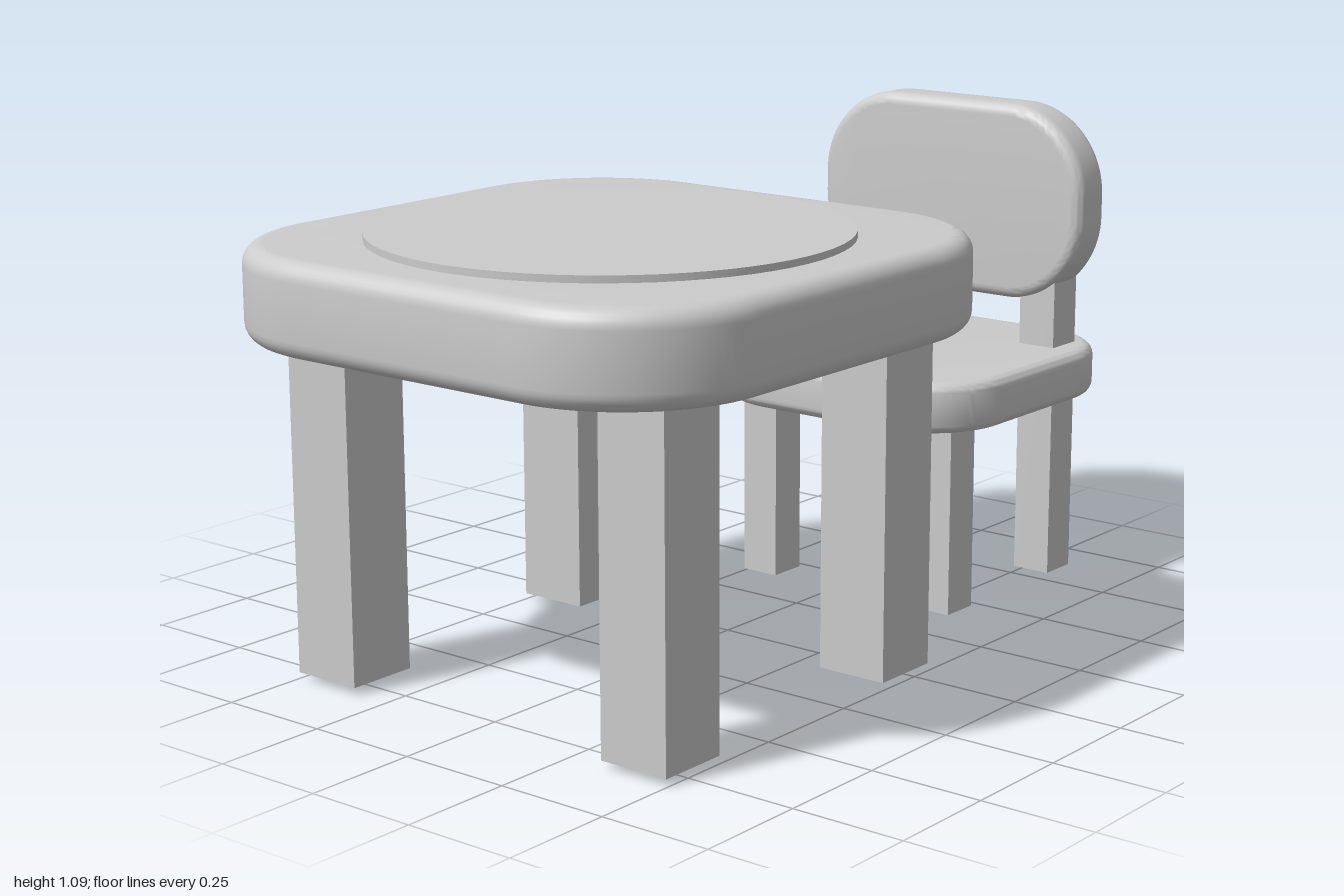
import * as THREE from 'three';
import { toCreasedNormals } from 'three/addons/utils/BufferGeometryUtils.js';

const material = new THREE.MeshStandardMaterial({ color: 0xcccccc });

function addMesh(parent, name, geometry, x, y, z) {
  const mesh = new THREE.Mesh(geometry, material);
  mesh.name = name;
  mesh.position.set(x, y, z);
  parent.add(mesh);
  return mesh;
}

// Rounded-rectangle slab with soft edges, centred, thickness along z
function slab(width, height, thickness, radius, bevel) {
  const w = width / 2 - bevel, h = height / 2 - bevel, r = radius - bevel;
  const shape = new THREE.Shape();
  shape.absarc(w - r, h - r, r, 0, Math.PI / 2);
  shape.absarc(r - w, h - r, r, Math.PI / 2, Math.PI);
  shape.absarc(r - w, r - h, r, Math.PI, Math.PI * 1.5);
  shape.absarc(w - r, r - h, r, Math.PI * 1.5, Math.PI * 2);
  const geometry = new THREE.ExtrudeGeometry(shape, {
    depth: thickness - 2 * bevel, curveSegments: 14,
    bevelThickness: bevel, bevelSize: bevel, bevelSegments: 6,
  });
  geometry.translate(0, 0, bevel - thickness / 2);
  return toCreasedNormals(geometry, 0.6);
}

// Square post standing between two heights
function addLeg(parent, name, size, x, z, bottom, top) {
  addMesh(parent, name, new THREE.BoxGeometry(size, top - bottom, size), x, (top + bottom) / 2, z);
}

export function createModel() {
  const model = new THREE.Group();
  model.name = 'tableAndChair';

  // Table
  const table = new THREE.Group();
  table.name = 'table';
  table.position.z = 0.38;
  model.add(table);
  addMesh(table, 'tableTop', slab(1.24, 1.24, 0.197, 0.33, 0.04).rotateX(-Math.PI / 2), 0, 0.8405, 0);
  addMesh(table, 'tableInlay', new THREE.CylinderGeometry(0.5, 0.5, 0.015, 64), 0, 0.9465, 0);
  for (const x of [-1, 1]) {
    for (const z of [-1, 1]) {
      addLeg(table, 'tableLeg', 0.162, x * 0.416, z * 0.351, 0.015, 0.76);
    }
  }

  // Chair
  const chair = new THREE.Group();
  chair.name = 'chair';
  chair.position.set(0.03, 0, -0.64);
  model.add(chair);
  addMesh(chair, 'seat', slab(0.72, 0.72, 0.113, 0.2, 0.026).rotateX(-Math.PI / 2), 0, 0.4825, 0);
  addMesh(chair, 'backrest', slab(0.72, 0.45, 0.112, 0.2, 0.026), 0, 0.867, -0.2);
  for (const x of [-1, 1]) {
    addLeg(chair, 'frontLeg', 0.092, x * 0.243, 0.205, 0, 0.45);
    // Rear legs rise past the seat to carry the backrest
    addLeg(chair, 'rearLeg', 0.092, x * 0.243, -0.205, 0, 0.74);
  }
  return model;
}
